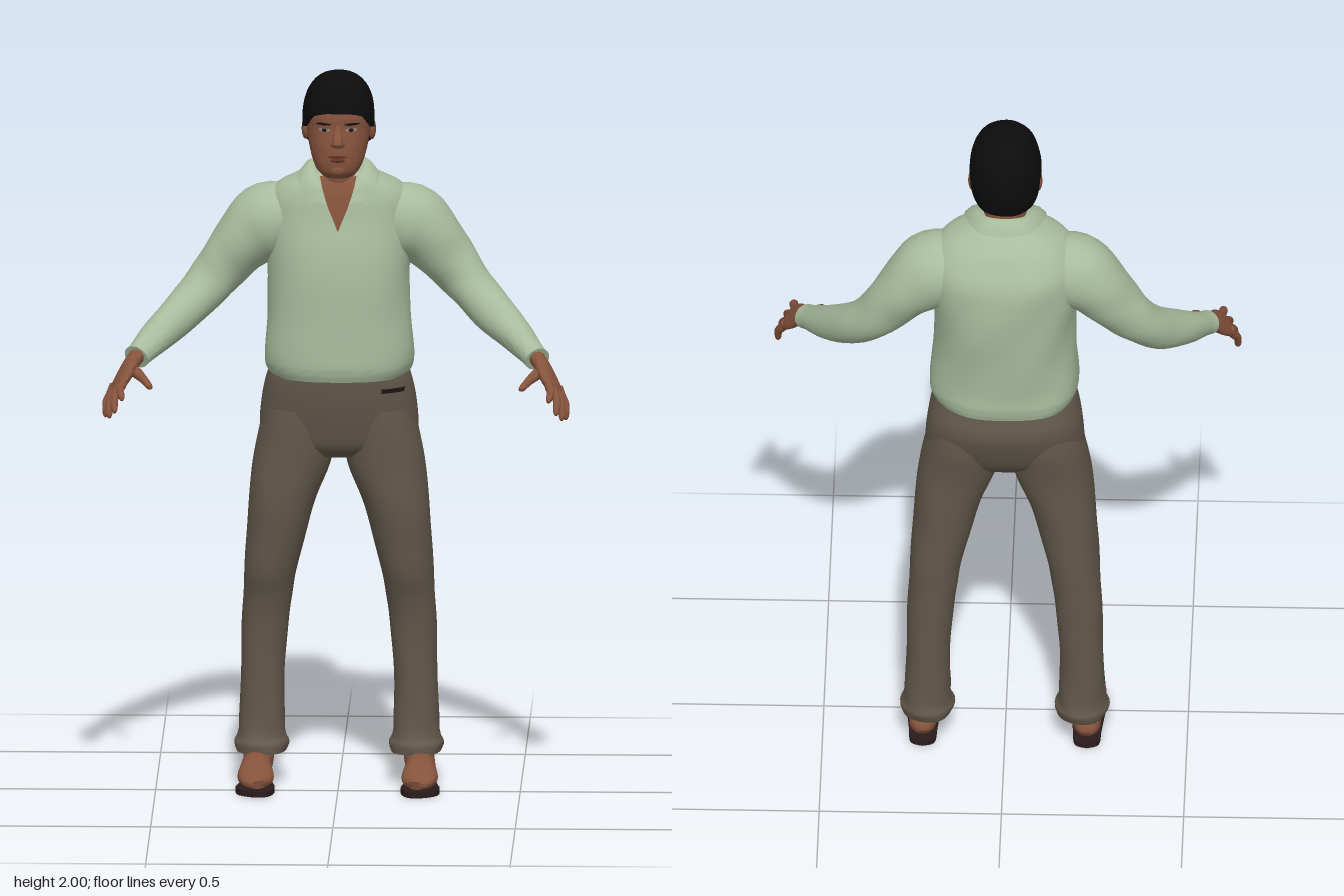
import * as THREE from 'three';
import { toCreasedNormals } from 'three/addons/utils/BufferGeometryUtils.js';

const V = (x, y, z) => new THREE.Vector3(x, y, z);
const mat = (name, color, side = THREE.FrontSide) =>
  Object.assign(new THREE.MeshStandardMaterial({ color, side }), { name });

// Grid of points fn(i, j); optionally wrapped around and capped at both ends.
function grid(rows, n, fn, wrap = true) {
  const pos = [], idx = [], cols = wrap ? n : n + 1;
  for (let i = 0; i < rows; i++) for (let j = 0; j < cols; j++) pos.push(...fn(i, j).toArray());
  for (let i = 0; i < rows - 1; i++) for (let j = 0; j < n; j++) {
    const a = i * cols + j, b = i * cols + (j + 1) % cols;
    idx.push(a, b, b + cols, a, b + cols, a + cols);
  }
  if (wrap) for (const i of [0, rows - 1]) {
    const c = V(0, 0, 0), k = pos.length / 3;
    for (let j = 0; j < n; j++) c.addScaledVector(V().fromArray(pos, (i * n + j) * 3), 1 / n);
    pos.push(c.x, c.y, c.z);
    for (let j = 0; j < n; j++) {
      const a = i * n + j, b = i * n + (j + 1) % n;
      idx.push(k, i ? a : b, i ? b : a);
    }
  }
  const g = new THREE.BufferGeometry();
  g.setAttribute('position', new THREE.Float32BufferAttribute(pos, 3));
  g.setIndex(idx);
  g.computeVertexNormals();
  return toCreasedNormals(g, 1.0);
}

// Smooth the key rows with a spline through each column.
function smooth(keys, sub = 4) {
  const out = [], at = (i) => keys[Math.min(Math.max(i, 0), keys.length - 1)];
  for (let i = 0; i < keys.length - 1; i++) for (let k = 0; k < sub; k++) {
    const t = k / sub;
    out.push(keys[i].map((p1, c) => {
      const p0 = at(i - 1)[c], p2 = at(i + 1)[c], p3 = at(i + 2)[c];
      return p1 + 0.5 * t * (p2 - p0 + t * (2 * p0 - 5 * p1 + 4 * p2 - p3 + t * (3 * (p1 - p2) + p3 - p0)));
    }));
  }
  out.push(keys[keys.length - 1]);
  return out;
}

const sp = (v, p) => Math.sign(v) * Math.abs(v) ** (2 / p);

// Loft of rows [x, y, z, width radius, depth radius]; level keeps every ring horizontal.
function loft(keys, { ref = V(0, 1, 0), p = 2, n = 28, level = false, fold = () => 1, sub = 4 } = {}) {
  const rows = smooth(keys, sub), c = rows.map((r) => V(r[0], r[1], r[2]));
  const frames = rows.map((r, i) => {
    if (level) return [V(1, 0, 0), V(0, 0, 1)];
    const t = c[Math.min(i + 1, c.length - 1)].clone().sub(c[Math.max(i - 1, 0)]).normalize();
    const u = t.clone().cross(ref).normalize();
    return [u, u.clone().cross(t)];
  });
  return grid(rows.length, n, (i, j) => {
    const a = j / n * Math.PI * 2, f = fold(a, rows[i][1]);
    return c[i].clone().addScaledVector(frames[i][0], rows[i][3] * f * sp(Math.sin(a), p))
      .addScaledVector(frames[i][1], rows[i][4] * f * sp(Math.cos(a), p));
  });
}

// Body rows are written as [y, centre x, half width, front z, back z].
const body = (keys, s = 1) => keys.map(([y, x, w, f, b]) => [x * s, y, (f + b) / 2, w, (f - b) / 2]);

// Thin plate laid on the front of a level loft; outline rows are [y, x0, x1].
function plate(keys, p, outline, lift = 0.005) {
  const rows = smooth(body(keys));
  return grid(outline.length, 8, (i, j) => {
    const [y, x0, x1] = outline[i], x = x0 + (x1 - x0) * j / 8;
    const k = Math.max(1, rows.findIndex((r) => r[1] >= y));
    const A = rows[k - 1], B = rows[k], t = (y - A[1]) / (B[1] - A[1]);
    const [z, w, d] = [2, 3, 4].map((q) => A[q] + (B[q] - A[q]) * t);
    return V(x, y, z + d * Math.max(0, 1 - Math.abs(x / w) ** p) ** (1 / p) + lift);
  }, false);
}
const oval = (x, y, w, h, tilt = 0) => [-1, -0.6, 0, 0.6, 1].map((t) => {
  const r = w * Math.sqrt(1 - t * t) + 0.001, m = x + tilt * t;
  return [y + h * t, m - r, m + r];
});

const TORSO = [
  [1.15, 0, .188, .036, -.262], [1.18, 0, .203, .046, -.268], [1.23, 0, .205, .046, -.266],
  [1.32, 0, .196, .043, -.272], [1.42, 0, .194, .04, -.282], [1.51, 0, .2, .028, -.286],
  [1.59, 0, .205, .008, -.28], [1.645, 0, .195, -.002, -.252], [1.68, 0, .168, -.012, -.228],
  [1.70, 0, .134, -.022, -.205], [1.72, 0, .092, -.033, -.18], [1.737, 0, .068, -.04, -.16]];
const HIPS = [
  [.925, 0, .13, -.04, -.185], [.955, 0, .195, -.01, -.215], [1.0, 0, .217, .004, -.238],
  [1.08, 0, .212, .02, -.262], [1.14, 0, .2, .026, -.25], [1.17, 0, .19, .026, -.245]];
const LEG = [
  [.09, .212, .068, -.042, -.198], [.115, .212, .074, -.042, -.206], [.15, .212, .064, -.058, -.2],
  [.3, .21, .06, -.066, -.2], [.45, .203, .064, -.06, -.205], [.53, .195, .068, -.048, -.206],
  [.6, .188, .072, -.026, -.21], [.7, .172, .081, -.012, -.212], [.8, .155, .093, -.003, -.215],
  [.9, .13, .106, 0, -.222], [1.0, .112, .107, .001, -.235], [1.06, .105, .1, 0, -.235]];
const HEAD = [
  [1.718, 0, .036, .014, -.06], [1.735, 0, .056, .031, -.085], [1.76, 0, .069, .036, -.115],
  [1.79, 0, .078, .036, -.148], [1.82, 0, .084, .033, -.165], [1.855, 0, .088, .028, -.175],
  [1.9, 0, .09, .027, -.18], [1.95, 0, .074, .0, -.155], [1.98, 0, .04, -.035, -.11]];
const NECK = [[1.6, 0, .07, -.035, -.17], [1.68, 0, .064, -.02, -.165], [1.72, 0, .06, -.014, -.155], [1.8, 0, .06, -.02, -.155]];

export function createModel() {
  const model = new THREE.Group();
  model.name = 'standingMan';
  const skin = mat('skin', 0x85533c), shirt = mat('shirt', 0xa8bb9c), collarCloth = mat('collarCloth', 0xa8bb9c, THREE.DoubleSide);
  const cloth = mat('trousers', 0x62584b), hair = mat('hair', 0x0c0c0d), sole = mat('sole', 0x2a1c1d);
  const lip = mat('lips', 0x633528), white = mat('eyeWhite', 0x9a8f88), dark = mat('darkDetail', 0x1b1412);
  const add = (name, geo, m) => {
    const mesh = new THREE.Mesh(geo, m);
    mesh.name = name;
    model.add(mesh);
    return mesh;
  };
  const ball = (name, m, x, y, z, a, b, c) =>
    add(name, new THREE.SphereGeometry(1, 16, 12).scale(a, b, c).translate(x, y, z), m);

  // Soft cloth folds, calmer on the front
  const shirtFold = (a, y) => 1 + (1.25 - Math.cos(a)) / 2.3 * (0.014 * Math.sin(3 * a + 13 * y) + 0.011 * Math.sin(6 * a - 24 * y));
  const legFold = (a, y) => 1 + 0.012 * Math.sin(2 * a + 26 * y) + (y < 0.2 ? 0.025 * Math.sin(4 * a + 70 * y) : 0);

  // Shirt, open neck and trousers
  add('shirtBody', loft(body(TORSO), { p: 2.3, n: 48, level: true, fold: shirtFold }), shirt);
  add('openNeck', plate(TORSO, 2.3, [[1.57, -.001, .001], [1.6, -.013, .013], [1.63, -.026, .026], [1.66, -.036, .036], [1.69, -.045, .045], [1.715, -.05, .05]]), skin);
  add('hips', loft(body(HIPS), { p: 2.3, n: 40, level: true }), cloth);
  add('pocketSlit', plate(HIPS, 2.3, [[1.114, .12, .18], [1.126, .12, .184]]), dark);

  // Collar: one half curve pair, mirrored through the back
  const inner = [[.03, 1.645, .01], [.054, 1.70, -.014], [.068, 1.738, -.08], [.05, 1.752, -.14], [0, 1.757, -.158]];
  const outer = [[.08, 1.638, .008], [.108, 1.69, -.026], [.108, 1.718, -.1], [.07, 1.72, -.172], [0, 1.717, -.19]];
  const round = (h) => new THREE.CatmullRomCurve3(
    [...h, ...h.slice(0, -1).reverse().map(([x, y, z]) => [-x, y, z])].map((q) => V(...q)));
  const edges = [round(outer), round(inner)];
  add('collar', grid(4, 40, (i, j) => {
    const q = edges[0].getPoint(j / 40).lerp(edges[1].getPoint(j / 40), i / 3);
    q.y += 0.012 * Math.sin(Math.PI * i / 3);
    return q;
  }, false), collarCloth);

  // Head and face
  add('neck', loft(body(NECK), { level: true }), skin);
  add('head', loft(body(HEAD), { p: 2.3, n: 40, level: true }), skin);
  add('nose', loft(body([[1.806, 0, .012, .036, .01], [1.813, 0, .019, .053, .01], [1.825, 0, .016, .055, .01],
    [1.85, 0, .01, .04, .01], [1.87, 0, .008, .03, .01]]), { level: true, n: 16 }), skin);
  add('upperLip', plate(HEAD, 2.3, oval(0, 1.782, .027, .005), .004), lip);
  ball('lowerLip', lip, 0, 1.772, .034, .02, .006, .007);
  ball('chin', skin, 0, 1.743, .022, .026, .018, .016);
  for (const s of [1, -1]) {
    add('eye', plate(HEAD, 2.3, oval(s * .037, 1.856, .015, .005), .003), white);
    add('iris', plate(HEAD, 2.3, oval(s * .037, 1.856, .006, .005), .005), dark);
    add('eyebrow', plate(HEAD, 2.3, oval(s * .039, 1.872, .021, .004, s * .002), .004), dark);
    ball('ear', skin, s * .091, 1.838, -.088, .011, .03, .02);
  }

  // Hair cap with a hairline that drops from brow to nape
  const line = [1.903, 1.903, 1.898, 1.89, 1.868, 1.852, 1.845, 1.805, 1.788, 1.782, 1.78, 1.78, 1.78];
  add('hair', grid(15, 48, (i, j) => {
    const a = j / 48 * Math.PI * 2, k = (j <= 24 ? j : 48 - j) / 2, k0 = Math.floor(k);
    const e = line[k0] + (line[Math.min(k0 + 1, 12)] - line[k0]) * (k - k0);
    const y = e + (1.999 - e) * Math.sin(Math.max(0, i - 1) / 13 * Math.PI / 2);
    let f = (1 - Math.min(1, Math.abs((y - 1.865) / .135)) ** 2.4) ** (1 / 2.4);
    f *= (i === 0 ? 0.84 : 1) * (1 + 0.008 * Math.sin(7 * a + 30 * y));
    return V(.099 * f * sp(Math.sin(a), 2.15), y, -.077 + .121 * f * sp(Math.cos(a), 2.15));
  }), hair);

  // Limbs, mirrored
  for (const s of [1, -1]) {
    const side = s > 0 ? 'left' : 'right';
    const flip = (rows) => rows.map(([x, ...r]) => [x * s, ...r]);
    const limb = (name, rows, m, o) => add(side + name, loft(flip(rows), o), m);

    limb('Sleeve', [[.12, 1.58, -.125, .09, .09], [.19, 1.57, -.13, .108, .105], [.25, 1.525, -.132, .094, .092],
      [.31, 1.455, -.128, .076, .073], [.36, 1.395, -.112, .066, .063], [.42, 1.335, -.066, .058, .058],
      [.49, 1.28, .015, .048, .046], [.535, 1.245, .083, .037, .035], [.55, 1.234, .106, .037, .034]], shirt,
    { fold: (a, y) => 1 + 0.022 * Math.sin(2 * a + 45 * y) + 0.012 * Math.sin(3 * a - 80 * y) });

    // Hand: palm, four fingers and thumb
    limb('Palm', [[.535, 1.25, .085, .026, .022], [.562, 1.222, .125, .029, .021], [.58, 1.195, .16, .041, .019],
      [.597, 1.17, .192, .042, .015], [.604, 1.16, .204, .034, .008]], skin, { ref: V(.76 * s, .65, .09), n: 20 });
    const tips = [[.584, 1.15, .285], [.605, 1.112, .274], [.62, 1.092, .246], [.63, 1.086, .206]];
    tips.forEach((tip, i) => {
      const a = V(.583, 1.182, .214).lerp(V(.615, 1.15, .174), i / 3), b = V(...tip);
      const at = (t, r) => {
        const q = a.clone().lerp(b, t);
        const bend = 0.007 * Math.sin(Math.PI * Math.max(0, t));
        return [q.x + bend, q.y + bend, q.z, r, r];
      };
      limb('Finger', [at(-.3, .011), at(.1, .0125), at(.5, .011), at(.88, .009), at(1, .004)], skin, { n: 12, sub: 3 });
    });
    limb('Thumb', [[.57, 1.212, .13, .016, .014], [.55, 1.203, .162, .017, .015], [.53, 1.192, .195, .012, .012],
      [.512, 1.178, .228, .0095, .009], [.506, 1.174, .238, .004, .004]], skin, { n: 12, sub: 3 });

    // Leg, ankle, foot and sandal sole
    add(side + 'TrouserLeg', loft(body(LEG, s), { p: 2.2, n: 32, level: true, fold: legFold }), cloth);
    add(side + 'Ankle', loft(body([[.04, .222, .038, -.045, -.16], [.075, .22, .042, -.045, -.168],
      [.11, .216, .04, -.065, -.168], [.16, .212, .042, -.075, -.165]], s), { level: true }), skin);
    limb('Foot', [[.224, .04, -.17, .018, .014], [.225, .05, -.145, .036, .033], [.225, .056, -.08, .04, .042],
      [.225, .054, -.02, .044, .04], [.225, .045, .03, .05, .027], [.222, .038, .07, .042, .019],
      [.214, .034, .09, .026, .012]], skin, { p: 2.2 });
    const outline = [[.225, -.182], [.258, -.165], [.264, -.1], [.272, -.02], [.28, .03], [.265, .075], [.22, .1],
      [.188, .085], [.173, .03], [.18, -.03], [.186, -.1], [.192, -.165]];
    const curve = new THREE.SplineCurve([...outline, outline[0]].map(([x, z]) => new THREE.Vector2(x * s, z)));
    add(side + 'SandalSole', new THREE.ExtrudeGeometry(new THREE.Shape(curve.getPoints(48).slice(0, -1)),
      { depth: .016, bevelEnabled: false }).rotateX(Math.PI / 2).translate(0, .016, 0), sole);
  }
  return model;
}
